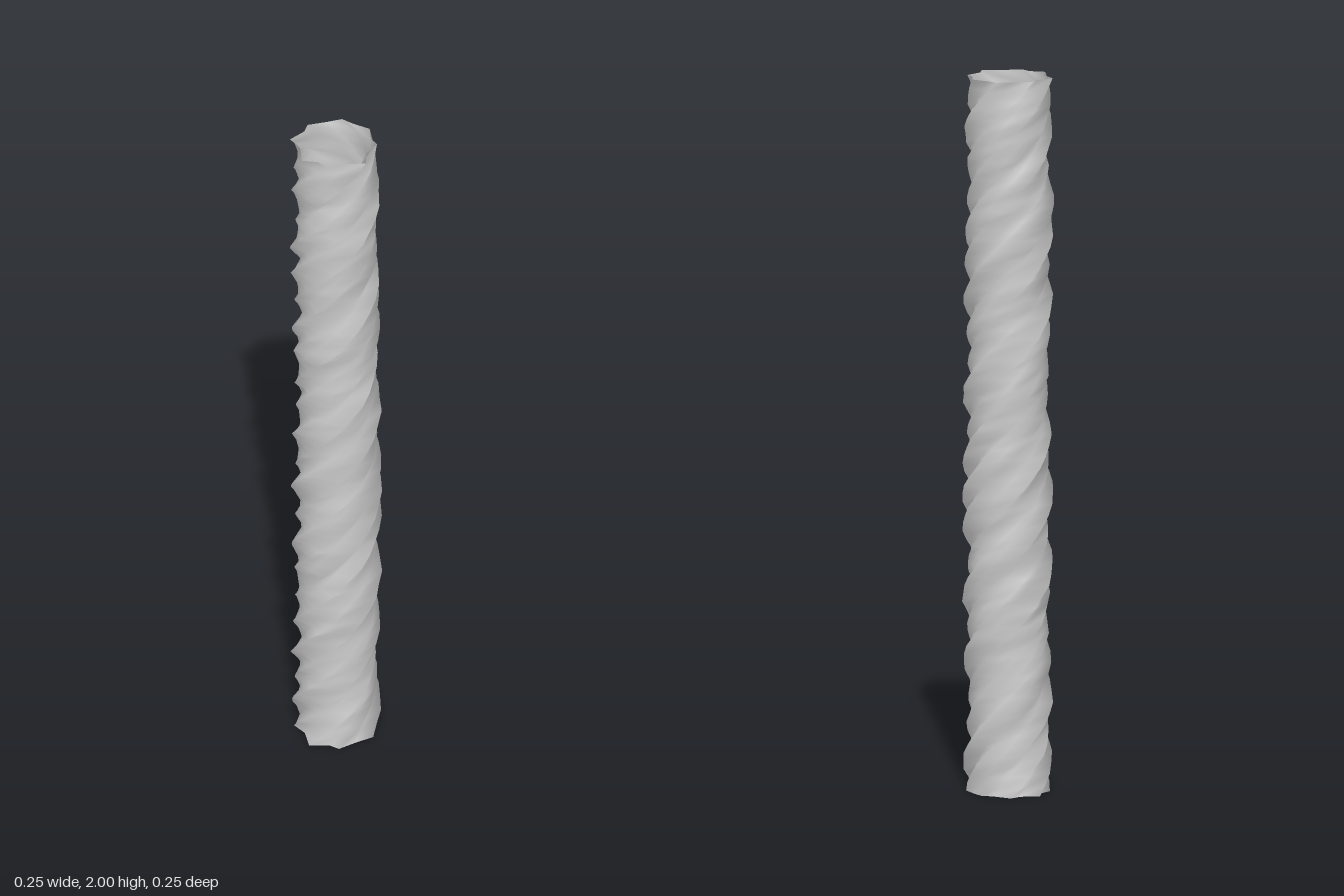
import * as THREE from 'three';

const RIDGES = 8;        // twisted strands around the tube
const SIDES = RIDGES * 2; // one ridge and one valley column per strand
const RINGS = 72;
const HEIGHT = 2;
const TWIST = 8.5;       // radians per unit of height

// Small seeded generator for the uneven bark-like surface
function seeded(seed) {
  return () => {
    seed = (seed * 16807) % 2147483647;
    return seed / 2147483647;
  };
}

// Open tube whose columns wind upwards, alternating crest and groove
function twistedTube() {
  const rand = seeded(4711);
  const columns = Array.from({ length: SIDES }, () => ({
    phase: rand() * Math.PI * 2,
    speed: 5 + rand() * 7,
    shift: (rand() - 0.5) * 0.14,
  }));
  const positions = [], index = [];
  for (let j = 0; j <= RINGS; j++) {
    const y = (j / RINGS) * HEIGHT;
    for (let i = 0; i < SIDES; i++) {
      const { phase, speed, shift } = columns[i];
      const crest = i % 2 === 0;
      const wave = Math.sin(phase + speed * y);
      const r = (crest ? 0.118 + 0.007 * wave : 0.1 + 0.004 * wave) + (rand() - 0.5) * 0.006;
      const a = (i / SIDES) * Math.PI * 2 + TWIST * y + shift + 0.06 * Math.cos(phase + speed * y);
      positions.push(r * Math.sin(a) - 0.004, y, r * Math.cos(a));
    }
  }
  for (let j = 0; j < RINGS; j++) {
    for (let i = 0; i < SIDES; i++) {
      const n = (i + 1) % SIDES;
      const a = j * SIDES + i, b = j * SIDES + n;
      const c = a + SIDES, d = b + SIDES;
      index.push(a, b, d, a, d, c);
    }
  }
  const geometry = new THREE.BufferGeometry();
  geometry.setAttribute('position', new THREE.Float32BufferAttribute(positions, 3));
  geometry.setIndex(index);
  geometry.computeVertexNormals();
  return geometry;
}

export function createModel() {
  const group = new THREE.Group();
  group.name = 'twistedTrunk';
  const material = new THREE.MeshStandardMaterial({ color: 0xcccccc, side: THREE.DoubleSide });
  const trunk = new THREE.Mesh(twistedTube(), material);
  trunk.name = 'trunk';
  group.add(trunk);
  return group;
}
